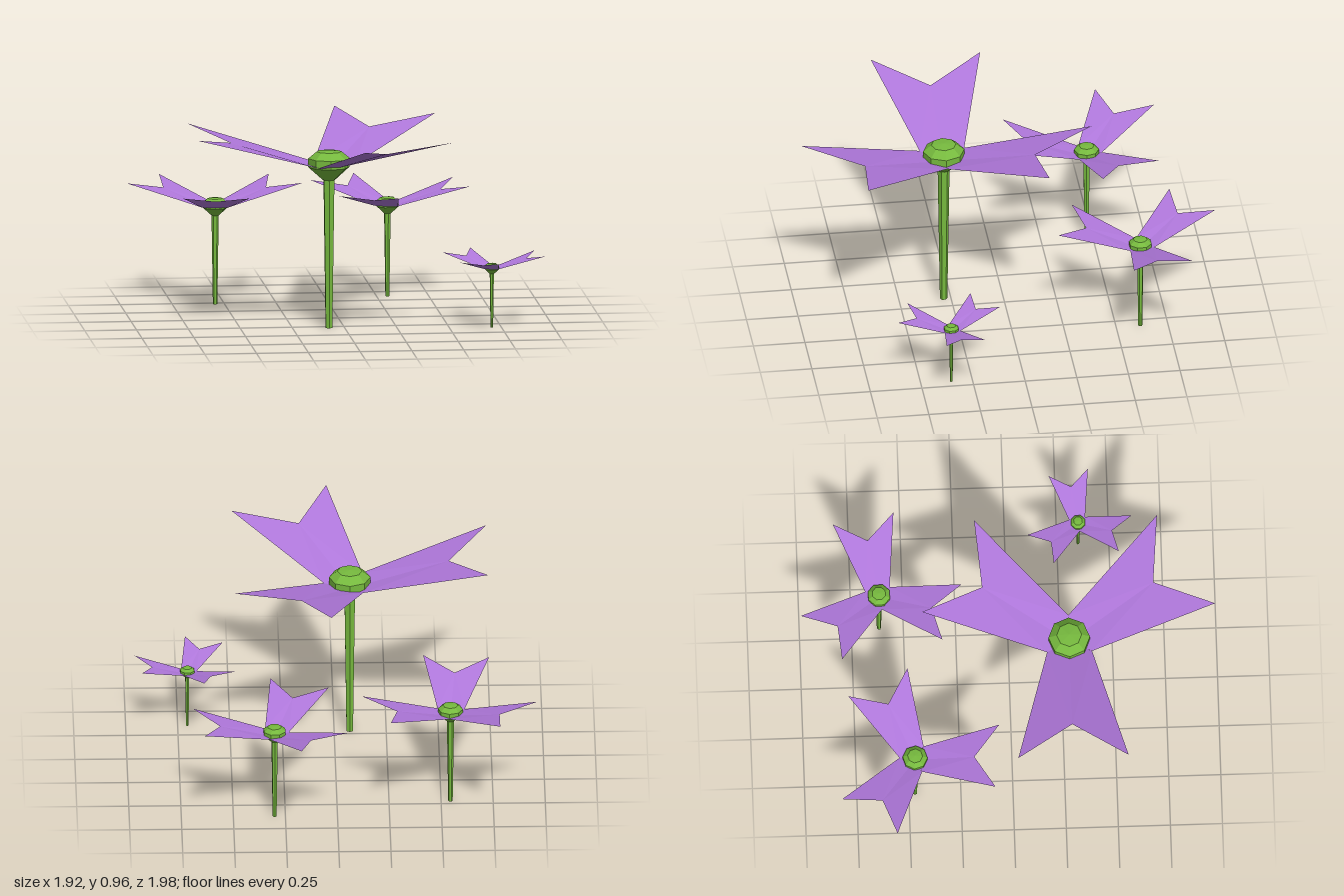
import * as THREE from 'three';

const purple = new THREE.MeshStandardMaterial({ color: 0xb078dc, side: THREE.DoubleSide, flatShading: true });
purple.name = 'petalPurple';
const green = new THREE.MeshStandardMaterial({ color: 0x76b93e, flatShading: true });
green.name = 'stemGreen';

// Notched petal along +x, lightly creased down its middle
function petalGeometry() {
  const points = [
    0, 0.765, 0, // flower centre
    0.0625, 0.794, 0.108, 0.66, 0.964, 0.265, // left edge
    0.475, 0.908, 0, // notch
    0.66, 0.964, -0.265, 0.0625, 0.794, -0.108, // right edge
  ];
  const g = new THREE.BufferGeometry();
  g.setAttribute('position', new THREE.Float32BufferAttribute(points, 3));
  g.setIndex([0, 1, 3, 1, 2, 3, 0, 3, 5, 5, 3, 4]);
  g.computeVertexNormals();
  return g;
}

function mesh(name, geometry, material) {
  const m = new THREE.Mesh(geometry, material);
  m.name = name;
  return m;
}

export function createModel() {
  const model = new THREE.Group();
  model.name = 'flowers';

  const petal = petalGeometry();
  const stem = new THREE.CylinderGeometry(0.029, 0.018, 0.73, 6).translate(0, 0.365, 0);
  // Faceted bud: cup, rim and flat-topped crown
  const profile = [[0, 0.72], [0.03, 0.72], [0.1, 0.783], [0.1, 0.825], [0.06, 0.858], [0, 0.864]];
  const bud = new THREE.LatheGeometry(profile.map(([r, y]) => new THREE.Vector2(r, y)), 8);

  // x, z, scale, direction of the first petal in degrees (from +x towards +z)
  const flowers = [
    [-0.075, 0.285, 1, 180],
    [-0.545, -0.47, 0.6, 95],
    [0.302, -0.617, 0.56, 110],
    [0.704, 0.352, 0.362, 110.5],
  ];
  flowers.forEach(([x, z, size, angle], i) => {
    const flower = new THREE.Group();
    flower.name = 'flower' + (i + 1);
    flower.add(mesh('stem', stem, green), mesh('bud', bud, green));
    for (let k = 0; k < 3; k++) {
      const p = mesh('petal' + (k + 1), petal, purple);
      p.rotation.y = -k * Math.PI * 2 / 3;
      flower.add(p);
    }
    flower.position.set(x, 0, z);
    flower.rotation.y = -THREE.MathUtils.degToRad(angle);
    flower.scale.setScalar(size);
    model.add(flower);
  });
  return model;
}
